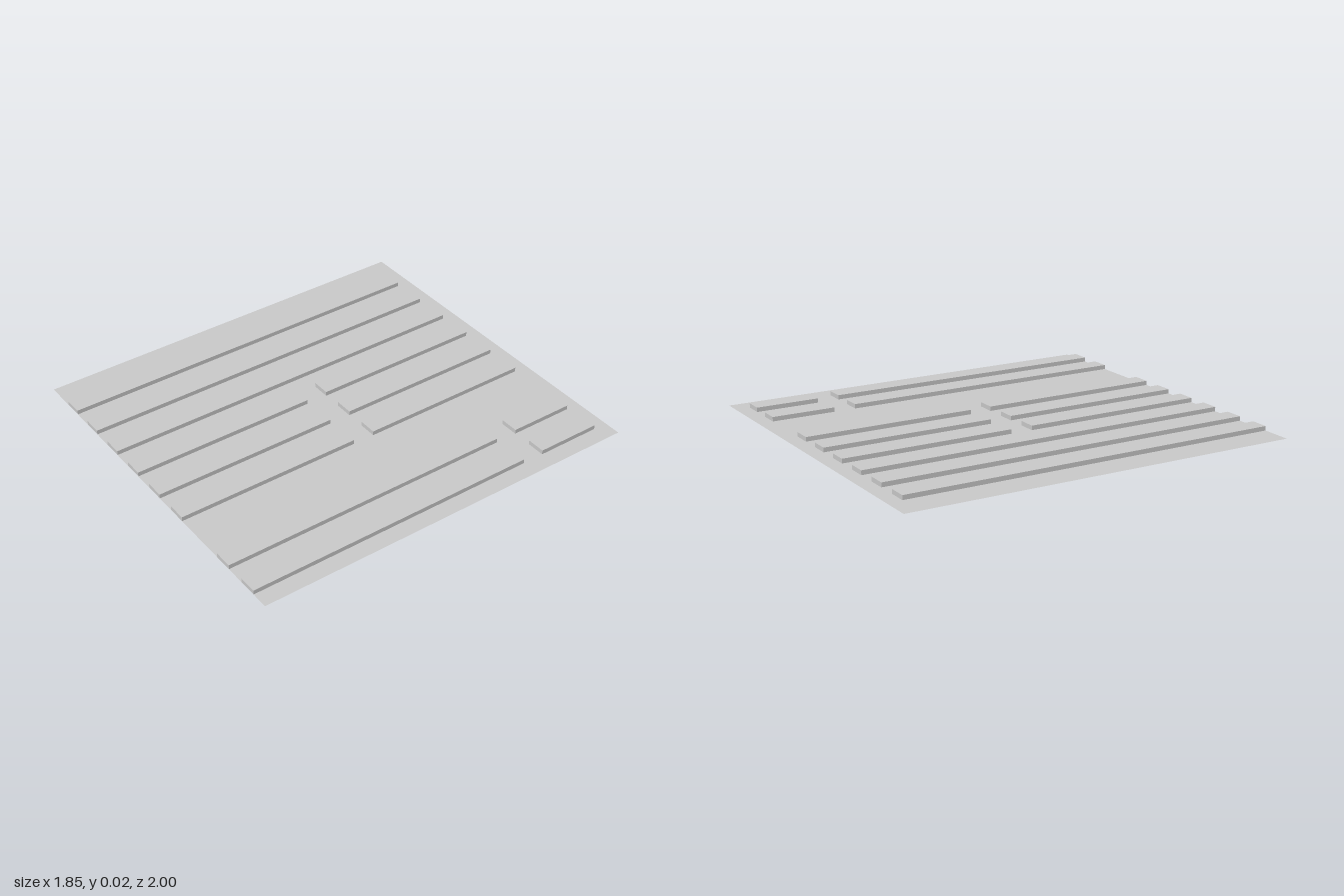
import * as THREE from 'three';

const HALF_X = 0.925, FRONT = 1, BACK_END = -0.926;
const BAR_W = 0.092, BAR_H = 0.022, PITCH = 0.19, FIRST_X = -0.727;

// Gap [start, end] in z that splits each column of bars; slot 6 is an empty lane
const middleGap = [-0.05, 0.061], backGap = [-0.6, -0.488];
const columns = [
  { slot: 0 }, { slot: 1 }, { slot: 2 },
  { slot: 3, gap: middleGap }, { slot: 4, gap: middleGap }, { slot: 5, gap: middleGap },
  { slot: 7, gap: backGap }, { slot: 8, gap: backGap },
];

// Raised bar, hollow and open underneath
function barGeometry(x, z0, z1) {
  const g = new THREE.BoxGeometry(BAR_W, BAR_H, z1 - z0);
  const index = Array.from(g.index.array);
  index.splice(18, 6); // drop the bottom face
  g.setIndex(index);
  g.clearGroups();
  g.translate(x, BAR_H / 2, (z0 + z1) / 2);
  return g;
}

export function createModel() {
  const group = new THREE.Group();
  group.name = 'ribbedPanel';
  const material = new THREE.MeshStandardMaterial({ color: 0xcccccc, side: THREE.DoubleSide });

  // Sheet outline, drawn with y = -z; bars reaching the front edge cut notches
  const sheet = new THREE.Shape();
  sheet.moveTo(-HALF_X, -FRONT);

  for (const { slot, gap } of columns) {
    const x = FIRST_X + slot * PITCH;
    const x0 = x - BAR_W / 2, x1 = x + BAR_W / 2;
    const frontStart = gap ? gap[1] : BACK_END;

    sheet.lineTo(x0, -FRONT);
    sheet.lineTo(x0, -frontStart);
    sheet.lineTo(x1, -frontStart);
    sheet.lineTo(x1, -FRONT);
    const front = new THREE.Mesh(barGeometry(x, frontStart, FRONT), material);
    front.name = gap ? 'frontBar' : 'longBar';
    group.add(front);

    if (gap) {
      const hole = new THREE.Path();
      hole.moveTo(x0, -BACK_END);
      hole.lineTo(x1, -BACK_END);
      hole.lineTo(x1, -gap[0]);
      hole.lineTo(x0, -gap[0]);
      hole.closePath();
      sheet.holes.push(hole);
      const back = new THREE.Mesh(barGeometry(x, BACK_END, gap[0]), material);
      back.name = 'backBar';
      group.add(back);
    }
  }
  sheet.lineTo(HALF_X, -FRONT);
  sheet.lineTo(HALF_X, FRONT);
  sheet.lineTo(-HALF_X, FRONT);
  sheet.closePath();

  // Thin flat base sheet
  const base = new THREE.Mesh(new THREE.ShapeGeometry(sheet).rotateX(-Math.PI / 2), material);
  base.name = 'baseSheet';
  group.add(base);
  return group;
}
